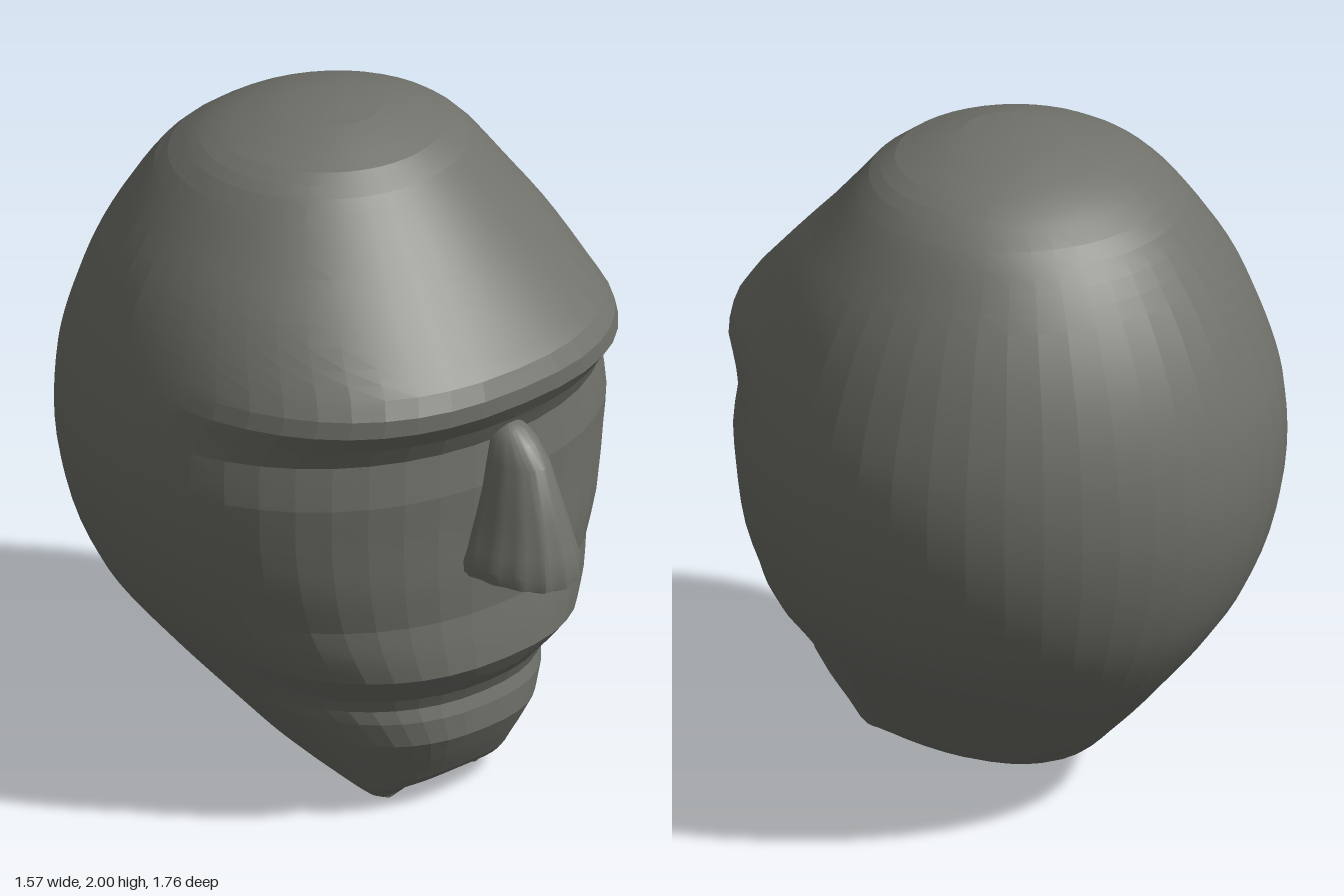
import * as THREE from 'three';
import { toCreasedNormals } from 'three/addons/utils/BufferGeometryUtils.js';

// Smooth lookup in a table whose rows start with a descending y
function sample(table, y, col) {
  const n = table.length;
  let i = 0;
  while (i < n - 2 && y < table[i + 1][0]) i++;
  const a = table[i], b = table[i + 1];
  const p = table[Math.max(i - 1, 0)], q = table[Math.min(i + 2, n - 1)];
  const h = b[0] - a[0], t = (y - a[0]) / h;
  const m0 = (b[col] - p[col]) / (b[0] - p[0]) * h;
  const m1 = (q[col] - a[col]) / (q[0] - a[0]) * h;
  const t2 = t * t, t3 = t2 * t;
  return (2 * t3 - 3 * t2 + 1) * a[col] + (t3 - 2 * t2 + t) * m0 +
    (3 * t2 - 2 * t3) * b[col] + (t3 - t2) * m1;
}

// Skin closed rings, listed from top to bottom, and cap both ends
function loft(rings, crease) {
  const seg = rings[0].length, index = [];
  for (let i = 0; i < rings.length - 1; i++) {
    for (let j = 0; j < seg; j++) {
      const k = (j + 1) % seg;
      const a = i * seg + j, b = i * seg + k, c = a + seg, d = b + seg;
      index.push(a, b, c, b, d, c);
    }
  }
  // caps are strips that join the front of a ring to its back
  const bottom = (rings.length - 1) * seg;
  for (let j = -seg / 4; j < seg / 4; j++) {
    const [a, b, c, d] = [j, j + 1, seg / 2 - j - 1, seg / 2 - j].map(v => (v + seg) % seg);
    index.push(a, c, b, a, d, c);
    index.push(...[a, b, c, a, c, d].map(v => v + bottom));
  }
  const g = new THREE.BufferGeometry();
  g.setAttribute('position', new THREE.Float32BufferAttribute(rings.flat(2), 3));
  g.setIndex(index);
  return toCreasedNormals(g, crease);
}

// Skull: y, half width, back z, z of the widest point
const skull = [
  [2.0, 0.03, -0.11, -0.08], [1.99, 0.13, -0.21, -0.08], [1.97, 0.22, -0.30, -0.09],
  [1.93, 0.335, -0.41, -0.10], [1.88, 0.415, -0.50, -0.11], [1.8, 0.49, -0.60, -0.12],
  [1.6, 0.63, -0.735, -0.11], [1.4, 0.72, -0.825, -0.10], [1.2, 0.775, -0.873, -0.10],
  [1.0, 0.78, -0.878, -0.10], [0.8, 0.742, -0.84, -0.10], [0.6, 0.655, -0.76, -0.08],
  [0.4, 0.51, -0.625, 0.0], [0.2, 0.36, -0.45, 0.16], [0.12, 0.3, -0.34, 0.22],
  [0.08, 0.272, -0.18, 0.25], [0.05, 0.25, 0.05, 0.28], [0.02, 0.218, 0.21, 0.31], [0, 0.17, 0.31, 0.325],
];

// Face: y, front z, roundness of the front half
const face = [
  [2.0, -0.05, 2], [1.99, 0.05, 2], [1.97, 0.12, 2], [1.93, 0.22, 2], [1.88, 0.285, 2],
  [1.8, 0.35, 2], [1.7, 0.44, 2], [1.6, 0.53, 2.1], [1.5, 0.62, 2.2], [1.43, 0.68, 2.3],
  [1.38, 0.705, 2.4], [1.33, 0.705, 2.4], [1.27, 0.665, 2.2], [1.21, 0.635, 2.1],
  [1.08, 0.645, 2.15], [0.95, 0.635, 2.15], [0.8, 0.63, 2.2], [0.67, 0.62, 2.2],
  [0.58, 0.63, 2.3], [0.5, 0.635, 2.35], [0.44, 0.595, 2.2], [0.4, 0.56, 2.15],
  [0.36, 0.54, 2.2], [0.32, 0.55, 2.3], [0.24, 0.55, 2.35], [0.16, 0.51, 2.4],
  [0.12, 0.488, 2.4], [0.08, 0.465, 2.4], [0.05, 0.435, 2.4], [0.02, 0.38, 2.2], [0, 0.34, 2],
];

function headRing([y, front, n]) {
  const seg = 44;
  const [w, back, mid] = [1, 2, 3].map(c => sample(skull, y, c));
  return Array.from({ length: seg }, (_, j) => {
    const a = -j / seg * Math.PI * 2, s = Math.sin(a), c = Math.cos(a);
    const e = c > 0 ? 2 / n : 1;
    const x = w * Math.sign(s) * Math.abs(s) ** e;
    const z = c > 0 ? mid + (front - mid) * c ** e : mid + (mid - back) * c;
    // the jaw hangs lower at the corners of the chin
    const lift = 0.035 * Math.max(0, 1 - y / 0.3) * (1 - (x / w) ** 2) *
      THREE.MathUtils.clamp(z / 0.3, 0, 1);
    return [x, y + lift, z];
  });
}

function headGeometry() {
  // a ring at every face row and halfway to the next
  const rows = face.flatMap((row, i) => i === face.length - 1 ? [row] :
    [row, row.map((v, c) => (v + face[i + 1][c]) / 2)]);
  return loft(rows.map(headRing), 0.12);
}

// Nose: y, half width, front z
const nose = [
  [1.255, 0.02, 0.67], [1.24, 0.045, 0.70], [1.21, 0.065, 0.74], [1.15, 0.083, 0.79],
  [1.0, 0.122, 0.84], [0.9, 0.15, 0.87], [0.84, 0.168, 0.882], [0.805, 0.165, 0.88], [0.79, 0.135, 0.85],
];

function noseGeometry() {
  const seg = 64, mid = 0.65;
  const rings = nose.map(([y, w, front], i) => Array.from({ length: seg }, (_, j) => {
    const a = -j / seg * Math.PI * 2, s = Math.sin(a), c = Math.cos(a);
    // shallow flutes that deepen toward the base
    const r = 1 - 0.045 * (i / 8) * (0.5 - 0.5 * Math.cos(a * 16));
    const base = y < 0.85 ? 0.015 * s * s : 0;
    return [w * s * r, y + base, mid + (c > 0 ? (front - mid) * r : 0.08) * c];
  }));
  return loft(rings, 0.5);
}

export function createModel() {
  const group = new THREE.Group();
  group.name = 'head';
  const stone = new THREE.MeshStandardMaterial({ color: 0x70716a });
  stone.name = 'warm grey';
  const add = (name, geometry) => {
    const mesh = new THREE.Mesh(geometry, stone);
    mesh.name = name;
    group.add(mesh);
  };
  add('skullAndFace', headGeometry());
  add('nose', noseGeometry());
  return group;
}
